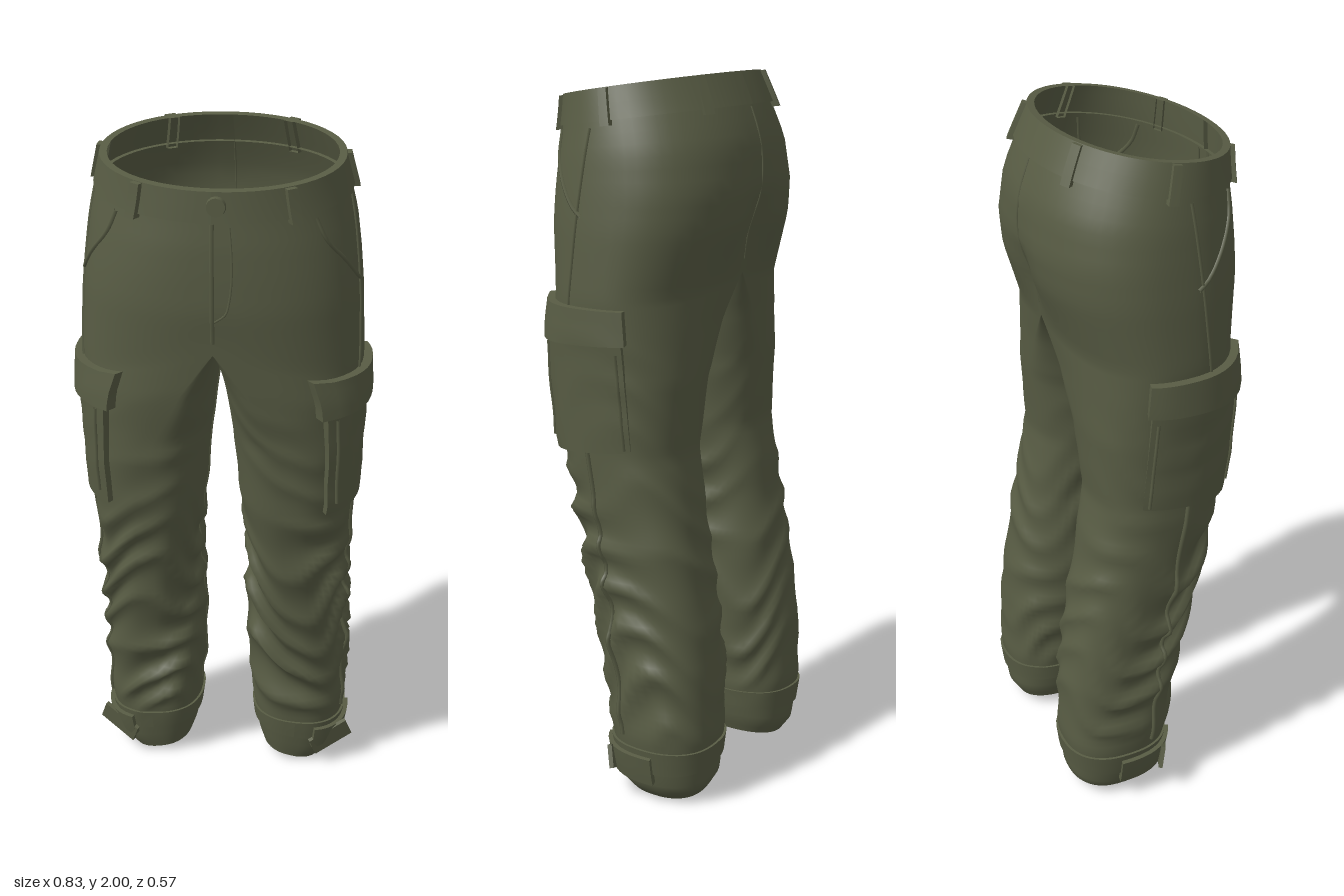
import * as THREE from 'three';
import { mergeGeometries, mergeVertices } from 'three/addons/utils/BufferGeometryUtils.js';

// Half cross-sections: y, outer x, inner x, centre x, front z, back z
const SECTIONS = [
  [0.02, 0.30, 0.115, 0.205, 0.0, -0.235],
  [0.06, 0.335, 0.10, 0.215, 0.012, -0.26],
  [0.12, 0.35, 0.09, 0.22, 0.025, -0.265],
  [0.2, 0.365, 0.082, 0.225, 0.04, -0.275],
  [0.4, 0.368, 0.065, 0.22, 0.075, -0.268],
  [0.6, 0.365, 0.062, 0.215, 0.115, -0.243],
  [0.8, 0.365, 0.068, 0.21, 0.16, -0.208],
  [1.0, 0.368, 0.048, 0.2, 0.2, -0.172],
  [1.2, 0.375, 0.03, 0.17, 0.226, -0.188],
  [1.34, 0.382, 0.012, 0.09, 0.25, -0.2],
  [1.43, 0.384, 0, 0, 0.262, -0.215],
  [1.6, 0.375, 0, 0, 0.278, -0.265],
  [1.7, 0.365, 0, 0, 0.28, -0.278],
  [1.8, 0.352, 0, 0, 0.28, -0.268],
  [1.88, 0.334, 0, 0, 0.276, -0.235],
  [1.97, 0.312, 0, 0, 0.272, -0.195],
];
const CROTCH = 1.43, TOP = 1.97, BOTTOM = 0.02;
const { lerp, smoothstep, clamp } = THREE.MathUtils;
const spow = (v, e) => Math.sign(v) * Math.abs(v) ** e;

function section(y) {
  let i = 0;
  while (i < SECTIONS.length - 2 && SECTIONS[i + 1][0] < y) i++;
  const a = SECTIONS[i], b = SECTIONS[i + 1];
  const t = clamp((y - a[0]) / (b[0] - a[0]), 0, 1);
  const [, xo, xi, xf, zf, zb] = a.map((v, k) => lerp(v, b[k], t));
  return { xo, xi, xf, zc: (zf + zb) / 2, hz: (zf - zb) / 2, e: 2 / lerp(2.4, 2.05, smoothstep(y, 1.6, 1.95)) };
}

// Bunched folds on the lower legs, faint pulls on the thighs
function folds(y, a, s) {
  const amp = 0.026 * smoothstep(y, 0.16, 0.3) * (1 - smoothstep(y, 0.75, 1.02))
    + 0.006 * smoothstep(y, 0.1, 0.3) * (1 - smoothstep(y, 1.2, 1.42));
  const phase = y / 0.14 + 0.55 * Math.sin(2 * a + s) + 0.3 * Math.sin(y * 9 + 3 * a + 2 * s);
  const ridge = 0.6 - 1.3 * Math.abs(Math.sin(Math.PI * phase));
  return amp * ridge * (0.65 + 0.35 * Math.sin(3 * a + 7 * y)) * (0.65 + 0.35 * Math.cos(a));
}

// Point on the cloth: a = 0 front, PI/2 outer side, PI back, 3PI/2 inner side
function cloth(y, a, s, off = 0) {
  const c = section(y), sn = Math.sin(a);
  let x = c.xf + (sn >= 0 ? c.xo - c.xf : c.xf - c.xi) * spow(sn, c.e);
  let z = c.zc + c.hz * spow(Math.cos(a), c.e);
  const dx = x - c.xf, dz = z - c.zc, len = Math.hypot(dx, dz) || 1;
  const d = off + folds(y, a, s);
  x += dx / len * d;
  z += dz / len * d;
  // cleft at the centre back
  if (y > CROTCH) z += 0.025 * Math.exp(-((x / 0.04) ** 2) - ((y - 1.58) / 0.1) ** 2) * (Math.cos(a) < 0 ? 1 : 0);
  const lift = 0.05 * (z / 0.25) ** 2 * Math.exp(-(((y - CROTCH) / 0.12) ** 2)) * (1 - Math.min(1, Math.abs(x) / 0.3));
  const slope = -0.15 * z * smoothstep(y, 1.65, 1.95);
  const hem = -(x - 0.2) * 0.2 * (1 - smoothstep(y, 0.02, 0.25));
  return new THREE.Vector3(s * x, y + lift + slope + hem, z);
}

const angleAt = (y, z) => {
  const c = section(y);
  return Math.acos(clamp(spow((z - c.zc) / c.hz, 1 / c.e), -1, 1));
};
const onSide = (y, z, s, off = 0) => cloth(y, angleAt(y, z), s, off);

// Surface over a rectangle of parameters
function grid(nu, nv, f, flip) {
  const pos = [], idx = [];
  for (let j = 0; j <= nv; j++)
    for (let i = 0; i <= nu; i++) pos.push(...f(i / nu, j / nv).toArray());
  for (let j = 0; j < nv; j++)
    for (let i = 0; i < nu; i++) {
      const p = j * (nu + 1) + i, q = p + nu + 1;
      idx.push(...(flip ? [p, q, p + 1, p + 1, q, q + 1] : [p, p + 1, q, p + 1, q + 1, q]));
    }
  const g = new THREE.BufferGeometry();
  g.setAttribute('position', new THREE.Float32BufferAttribute(pos, 3));
  g.setIndex(idx);
  return g;
}
function smooth(...parts) {
  const g = mergeVertices(mergeGeometries(parts), 1e-5);
  g.computeVertexNormals();
  return g;
}

// Raised panel: f(u, v, offset), with its rim dropping to the cloth
function panel(nu, nv, f, thick, s) {
  const rim = (e) => (t, v) => f(...e(t), lerp(-0.012, thick, v));
  const face = grid(nu, nv, (u, v) => f(u, v, thick), s < 0);
  const rims = [
    grid(nu, 1, rim((t) => [t, 0]), s < 0), grid(nu, 1, rim((t) => [t, 1]), s > 0),
    grid(nv, 1, rim((t) => [0, t]), s > 0), grid(nv, 1, rim((t) => [1, t]), s < 0),
  ];
  [face, ...rims].forEach((g) => g.computeVertexNormals());
  return mergeGeometries([face, ...rims]);
}

export function createModel() {
  const group = new THREE.Group();
  group.name = 'cargoTrousers';
  const olive = new THREE.MeshStandardMaterial({ color: 0x585c44, side: THREE.DoubleSide });
  olive.name = 'olive cloth';
  const add = (geo, name, parent) => {
    const m = new THREE.Mesh(geo, olive);
    m.name = name;
    parent.add(m);
    return m;
  };
  const seam = (pts, name, parent, r = 0.005) =>
    add(new THREE.TubeGeometry(new THREE.CatmullRomCurve3(pts), pts.length * 3, r, 5), name, parent);

  for (const s of [1, -1]) {
    const half = new THREE.Group();
    half.name = s > 0 ? 'leftHalf' : 'rightHalf';
    group.add(half);
    const PI = Math.PI;

    // Leg tube below the crotch, half shell of the seat above it
    add(smooth(
      grid(56, 74, (u, v) => cloth(lerp(BOTTOM, CROTCH, v), u * 2 * PI, s), s < 0),
      grid(28, 18, (u, v) => cloth(lerp(CROTCH, TOP, v), u * PI, s), s < 0),
    ), 'leg', half);
    const centre = new THREE.Vector3(s * 0.205, 0.035, -0.12);
    add(smooth(grid(40, 1, (u, v) => cloth(BOTTOM, u * 2 * PI, s).lerp(centre, v), s > 0)), 'hemBase', half);

    // Waistband and its belt loops
    add(panel(28, 2, (u, v, o) => cloth(lerp(1.885, TOP, v), u * PI, s, o), 0.008, s), 'waistband', half);
    for (const a of [0.62, 1.66, 2.62])
      add(panel(2, 4, (u, v, o) => cloth(lerp(1.872, 1.968, v), a + (u - 0.5) * 0.09, s, o), 0.02, s), 'beltLoop', half);

    // Slanted hip pocket and outer side seam
    const hip = [[1.87, 0.195], [1.8, 0.185], [1.72, 0.14], [1.66, 0.09], [1.64, 0.06]];
    seam(hip.map(([y, z]) => onSide(y, z, s, 0.001)), 'hipPocketEdge', half, 0.006);
    const upper = [], lower = [], inside = [];
    for (let i = 0; i <= 10; i++) upper.push(onSide(lerp(1.87, 1.4, i / 10), lerp(0.05, 0.1, i / 10), s));
    for (let i = 0; i <= 30; i++) {
      const y = lerp(1.02, 0.2, i / 30);
      lower.push(onSide(y, lerp(0.05, -0.05, i / 30), s, 0.001));
      inside.push(cloth(lerp(1.38, 0.2, i / 30), 1.5 * PI, s, 0));
    }
    seam(upper, 'sideSeam', half);
    seam(lower, 'lowerSideSeam', half, 0.007);
    seam(inside, 'inseam', half, 0.004);

    // Cargo pocket with its flap, wrapped round the thigh
    const pocketZ = (y, u, grow) => lerp(lerp(0.178, 0.21, (y - 1) / 0.35) + grow, lerp(-0.083, -0.065, (y - 1) / 0.35) - grow, u);
    add(panel(12, 10, (u, v, o) => {
      const y = lerp(0.995 + 0.03 * u, 1.33, v);
      return onSide(y, pocketZ(y, u, 0), s, o);
    }, 0.02, s), 'cargoPocket', half);
    add(panel(12, 4, (u, v, o) => {
      const y = lerp(1.3 + 0.015 * u, 1.405, v);
      return onSide(y, pocketZ(y, u, 0.01), s, o + (o > 0 ? 0.008 * (1 - v) : 0));
    }, 0.024, s), 'cargoFlap', half);
    for (const u of [0.06, 0.94]) {
      const pts = [];
      for (let i = 0; i <= 6; i++) {
        const y = lerp(1.03, 1.29, i / 6);
        pts.push(onSide(y, pocketZ(y, u, 0), s, 0.021));
      }
      seam(pts, 'pocketPleat', half, 0.005);
    }

    // Cuff, with a strap whose free end stands away from the ankle
    add(panel(40, 3, (u, v, o) => cloth(lerp(0.115, 0.175, v), u * 2 * PI, s, o), 0.007, s), 'cuff', half);
    add(panel(10, 3, (u, v, o) => cloth(lerp(0.09, 0.16, v), lerp(0.35, 1.7, u), s, o + (o > 0 ? 0.012 : 0)), 0.008, s), 'ankleStrap', half);
    const tab = add(new THREE.BoxGeometry(0.13, 0.065, 0.012), 'strapEnd', half);
    tab.position.set(s * 0.33, 0.105, 0.0);
    tab.rotation.set(0.15, s * 0.5, s * 0.35);
  }

  // Fly seam, fly stitching and waist button
  const fly = [], stitch = [];
  for (let i = 0; i <= 8; i++) fly.push(cloth(lerp(1.88, 1.47, i / 8), 0, 1, 0.001));
  for (let i = 0; i <= 8; i++) {
    const t = i / 8;
    stitch.push(cloth(lerp(1.87, 1.56, t), 0.12 * Math.sqrt(1 - t * t), 1, -0.001));
  }
  seam(fly, 'flySeam', group, 0.006);
  seam(stitch, 'flyStitching', group, 0.003);
  const back = [];
  for (let i = 0; i <= 8; i++) back.push(cloth(lerp(1.88, 1.47, i / 8), Math.PI, 1));
  seam(back, 'seatSeam', group, 0.003);
  const button = add(new THREE.CylinderGeometry(0.024, 0.026, 0.014, 14), 'waistButton', group);
  button.rotation.x = Math.PI / 2;
  button.position.set(0.012, 1.892, 0.286);
  return group;
}
